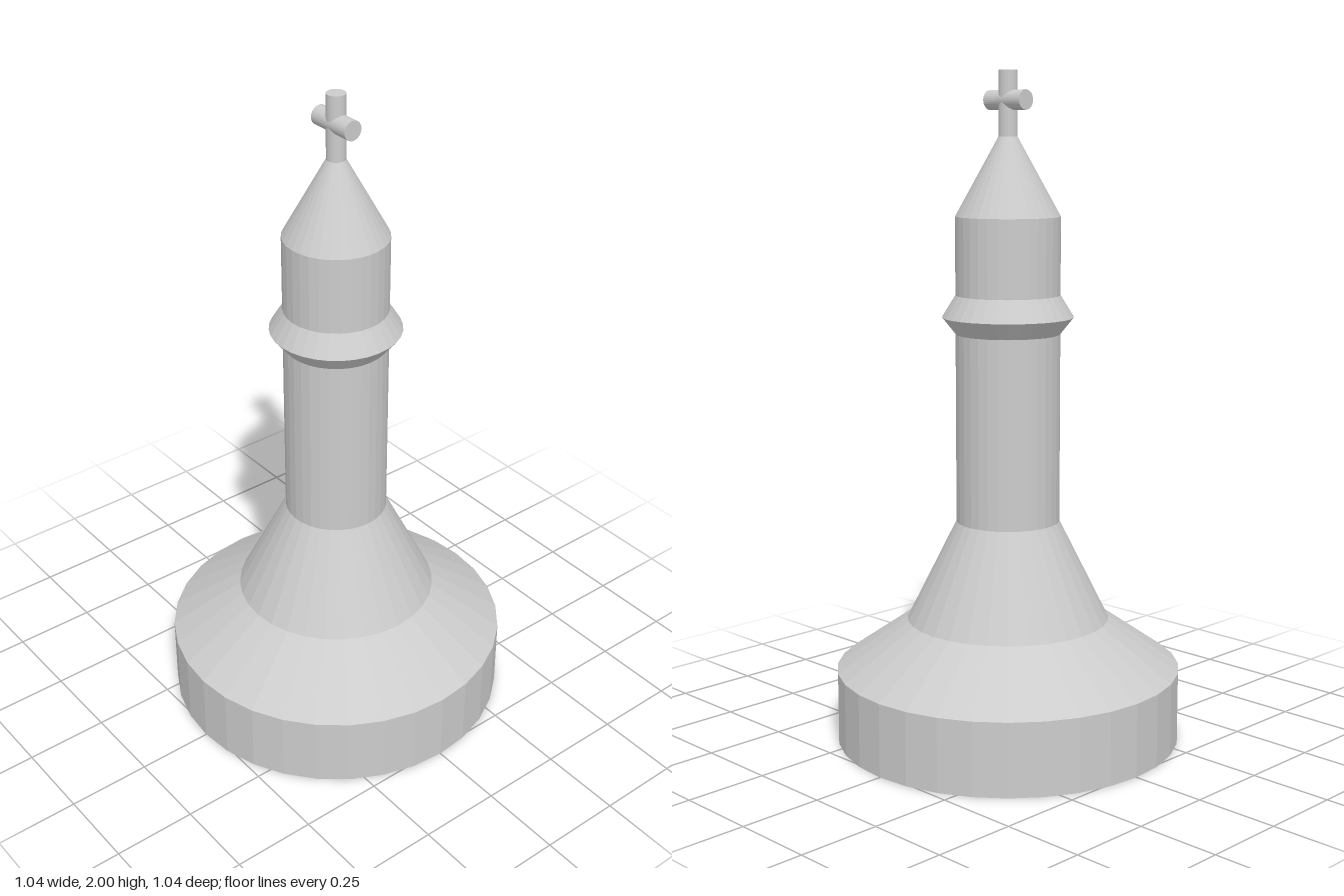
import * as THREE from 'three';

const SIDES = 32;

export function createModel() {
  const group = new THREE.Group();
  group.name = 'chessPiece';
  const material = new THREE.MeshStandardMaterial({ color: 0xcccccc, flatShading: true });

  const add = (name, geometry) => {
    const mesh = new THREE.Mesh(geometry, material);
    mesh.name = name;
    group.add(mesh);
    return mesh;
  };

  // Turned section from [radius, height] pairs, listed bottom to top
  const turned = (name, profile) =>
    add(name, new THREE.LatheGeometry(profile.map(([r, y]) => new THREE.Vector2(r, y)), SIDES));

  // Foot and sloping skirt
  turned('base', [[0, 0], [0.52, 0], [0.52, 0.22], [0.305, 0.37]]);
  turned('skirt', [[0.305, 0.37], [0.155, 0.67]]);

  // Column with a sharp collar
  turned('shaft', [[0.155, 0.67], [0.155, 1.235]]);
  turned('collar', [[0.155, 1.235], [0.195, 1.285], [0.155, 1.35]]);

  // Head tapering to the finial
  turned('head', [[0.155, 1.35], [0.155, 1.58], [0.028, 1.81]]);

  // Cross finial
  turned('crossPost', [[0.028, 1.81], [0.028, 2], [0, 2]]);
  const bar = add('crossBar', new THREE.CylinderGeometry(0.029, 0.029, 0.146, SIDES));
  bar.rotation.z = Math.PI / 2;
  bar.position.y = 1.915;

  return group;
}
